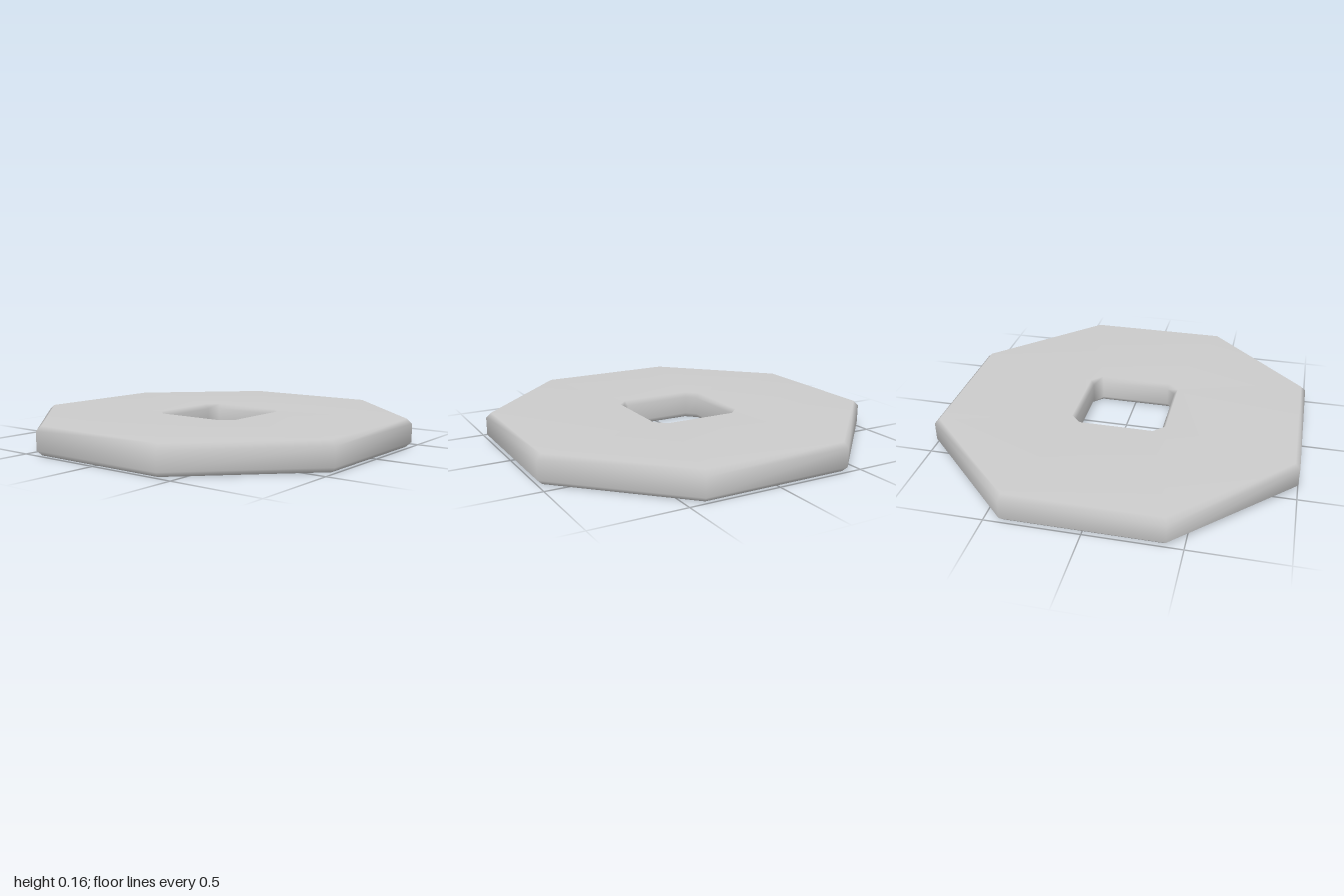
import * as THREE from 'three';

// Eight corners of a chamfered square: half width a, half length h of each straight side
function octagonRing(a, h, y) {
  const points = [];
  for (let q = 0; q < 4; q++) {
    for (const [x, z] of [[a, h], [h, a]]) {
      const c = Math.round(Math.cos(q * Math.PI / 2));
      const s = Math.round(Math.sin(q * Math.PI / 2));
      points.push(x * c - z * s, y, x * s + z * c);
    }
  }
  return points;
}

export function createModel() {
  const group = new THREE.Group();
  const height = 0.155, bevel = 0.027, holeBevel = 0.02;
  const slope = Math.tan(Math.PI / 8); // keeps the bevel even around the corners
  const outer = (d, y) => octagonRing(1 - d, 0.414 - d * slope, y);
  const hole = (d, y) => octagonRing(0.245 + d, 0.197 + d * slope, y);

  // Closed cross-section: up the rim, over the top, down the hole, back underneath
  const rings = [
    outer(bevel, 0), outer(0, bevel), outer(0, height - bevel), outer(bevel, height),
    hole(holeBevel, height), hole(0, height - bevel), hole(0, bevel), hole(holeBevel, 0),
  ];

  const index = [];
  for (let r = 0; r < rings.length; r++) {
    const next = (r + 1) % rings.length;
    for (let i = 0; i < 8; i++) {
      const j = (i + 1) % 8;
      const a = r * 8 + i, b = next * 8 + i, c = next * 8 + j, d = r * 8 + j;
      index.push(a, b, d, b, c, d);
    }
  }

  // Shared vertices give smooth shading over the bevels
  const geometry = new THREE.BufferGeometry();
  geometry.setAttribute('position', new THREE.Float32BufferAttribute(rings.flat(), 3));
  geometry.setIndex(index);
  geometry.computeVertexNormals();

  const plate = new THREE.Mesh(geometry, new THREE.MeshStandardMaterial({ color: 0xcccccc }));
  plate.name = 'octagonalPlate';
  group.add(plate);
  return group;
}
